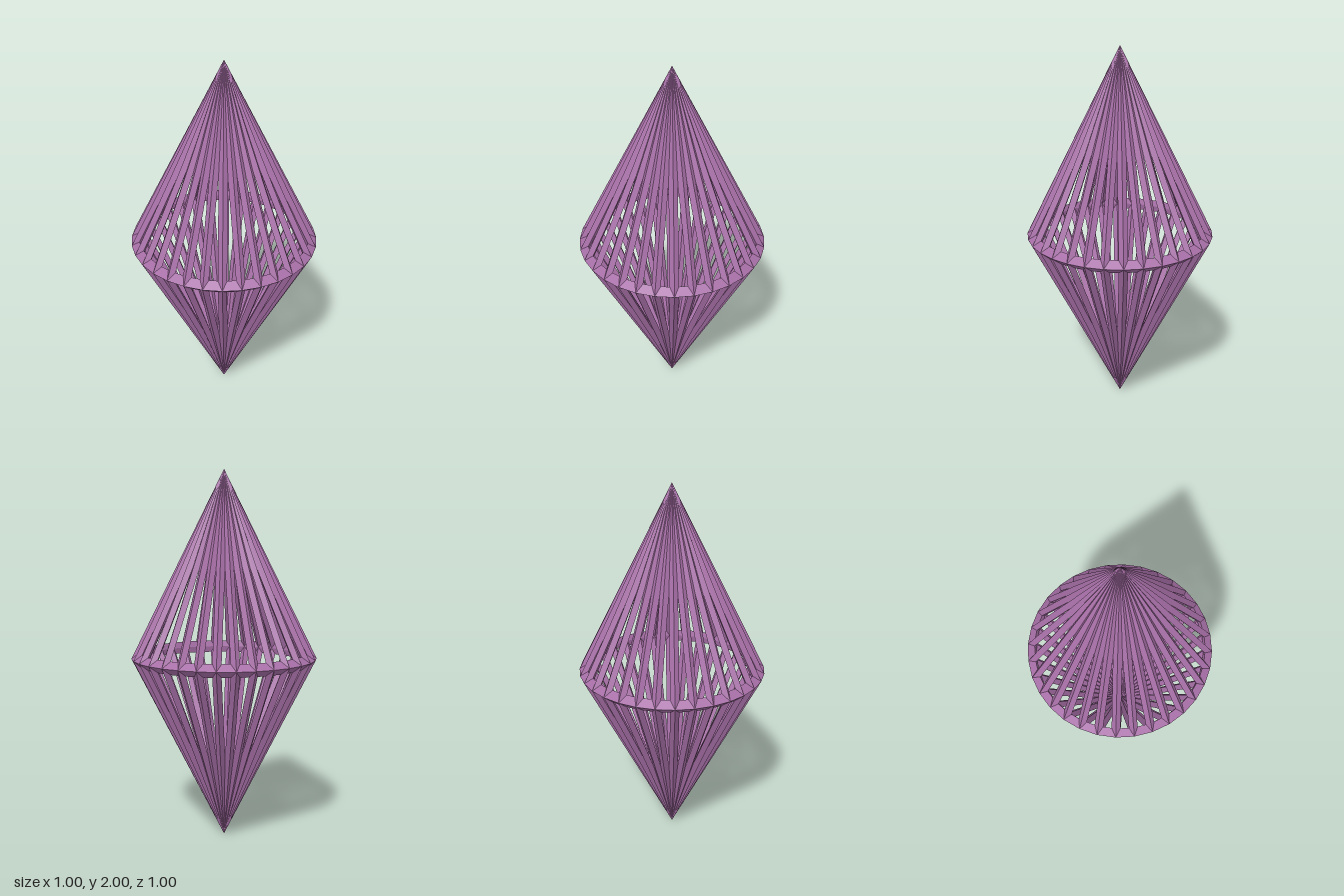
import * as THREE from 'three';

const SIDES = 32;
const RADIUS = 0.5;
const HEIGHT = 1;           // height of each cone
const OUTER = 1, MID = 0.955, INNER = 0.905; // scales of the ridge, strut side and inner edge
const BAR = 0.023;          // half width of a strut
const RIM = 0.034;          // half height of the rim

const STEP = (Math.PI * 2) / SIDES;

// Point on a cone; f runs from 0 at the rim to 1 at the tip
function rimPoint(i, scale) {
  const a = i * STEP;
  return [Math.sin(a) * RADIUS * scale, 0, Math.cos(a) * RADIUS * scale];
}

// Point inside facet i, at height fraction f and sideways offset u from its midline
function facetPoint(i, f, u) {
  const a = (i + 0.5) * STEP;
  const r = RADIUS * MID * (1 - f) * Math.cos(STEP / 2);
  return [
    Math.sin(a) * r + Math.cos(a) * u,
    HEIGHT * MID * f,
    Math.cos(a) * r - Math.sin(a) * u,
  ];
}

// Flat-faced geometry from quads; the lower half is the mirrored upper half
function quadGeometry(quads, sign) {
  const out = [];
  for (const [a, b, c, d] of quads) {
    for (const tri of [[a, b, c], [a, c, d]]) {
      if (sign < 0) tri.reverse();
      for (const p of tri) out.push(p[0], 1 + sign * p[1], p[2]);
    }
  }
  const geometry = new THREE.BufferGeometry();
  geometry.setAttribute('position', new THREE.Float32BufferAttribute(out, 3));
  geometry.computeVertexNormals();
  return geometry;
}

function buildCone(name, sign, material) {
  const struts = [], rim = [];
  const halfChord = RADIUS * MID * Math.sin(STEP / 2);
  const fLow = RIM / (HEIGHT * MID);
  const fTip = 1 - BAR / halfChord;
  const uLow = halfChord * (1 - fLow) - BAR;

  for (let i = 0; i < SIDES; i++) {
    // Corners of the triangular opening in this facet
    const top = facetPoint(i, fTip, 0);
    const left = facetPoint(i, fLow, -uLow);
    const right = facetPoint(i, fLow, uLow);

    // Outer bevels, then the inner ones facing the other way
    for (const scale of [OUTER, INNER]) {
      const tip = [0, HEIGHT * scale, 0];
      const v0 = rimPoint(i, scale), v1 = rimPoint(i + 1, scale);
      const bars = [[tip, v0, left, top], [tip, top, right, v1]];
      const edge = [v0, v1, right, left];
      if (scale === INNER) {
        bars.forEach((q) => q.reverse());
        edge.reverse();
      }
      struts.push(...bars);
      rim.push(edge);
    }
  }

  const cone = new THREE.Group();
  cone.name = name;
  for (const [part, quads] of [['Struts', struts], ['Rim', rim]]) {
    const mesh = new THREE.Mesh(quadGeometry(quads, sign), material);
    mesh.name = name + part;
    cone.add(mesh);
  }
  return cone;
}

export function createModel() {
  const purple = new THREE.MeshStandardMaterial({ color: 0xa870a8, flatShading: true });
  purple.name = 'mauve purple';

  const model = new THREE.Group();
  model.name = 'doubleConeCage';
  model.add(buildCone('upperCone', 1, purple), buildCone('lowerCone', -1, purple));
  return model;
}
